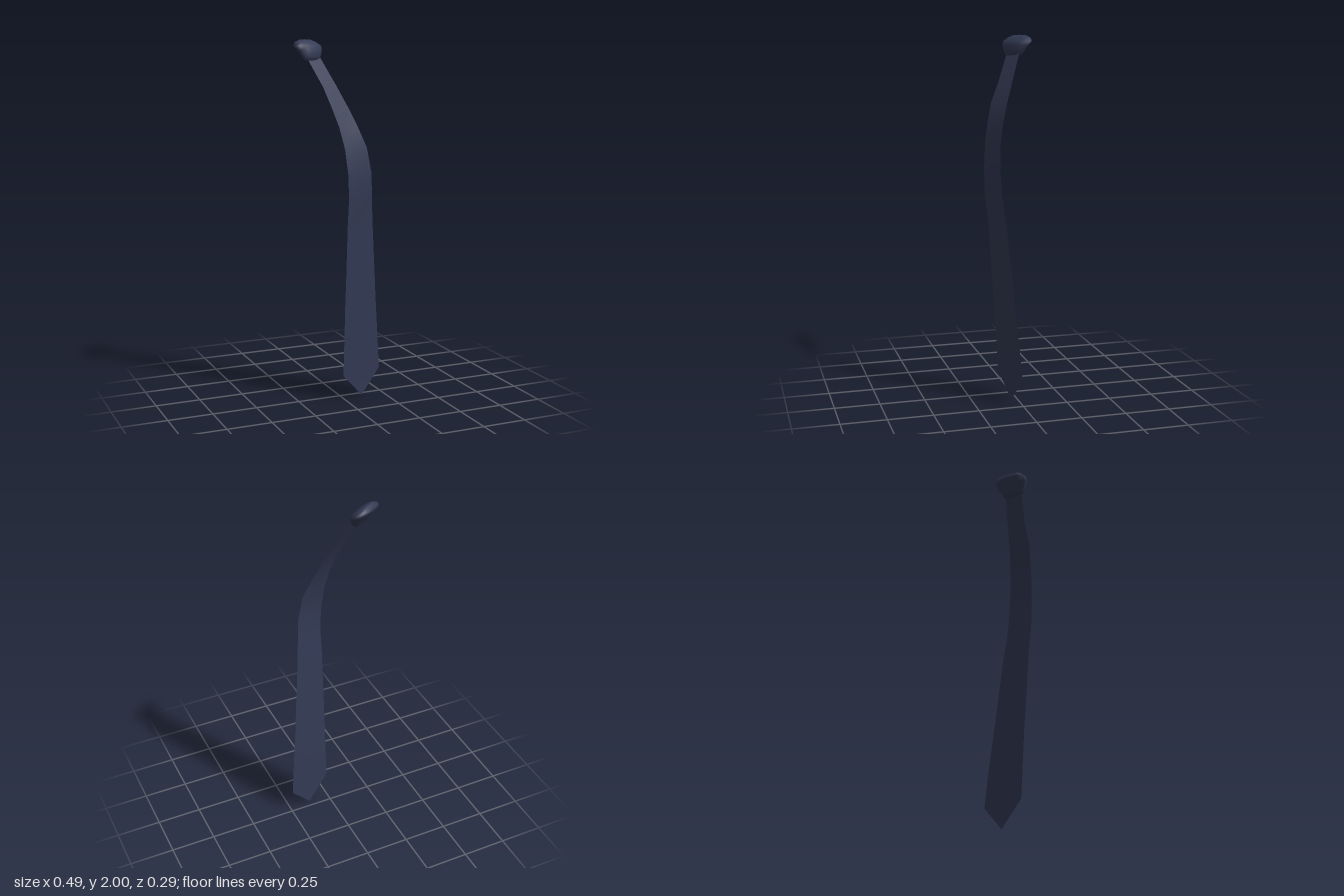
import * as THREE from 'three';

// Smooth mesh from points and triangle indices
function makeMesh(name, points, index, material) {
  const geometry = new THREE.BufferGeometry();
  geometry.setAttribute('position', new THREE.Float32BufferAttribute(points.flat(), 3));
  geometry.setIndex(index);
  geometry.computeVertexNormals();
  const mesh = new THREE.Mesh(geometry, material);
  mesh.name = name;
  return mesh;
}

// Hanging cloth: one sheet between two edges, ending in a point
function makeBlade(material) {
  // y, left x, left z, right x, right z
  const rows = [
    [1.93, -0.19, -0.035, -0.1, -0.085],
    [1.89, -0.175, -0.02, -0.08, -0.065],
    [1.75, -0.115, 0.04, -0.015, -0.01],
    [1.64, -0.085, 0.09, 0.033, 0.032],
    [1.54, -0.055, 0.118, 0.075, 0.065],
    [1.42, -0.03, 0.14, 0.12, 0.093],
    [1.28, -0.015, 0.15, 0.145, 0.1],
    [1.15, -0.01, 0.148, 0.152, 0.092],
    [1.0, -0.01, 0.13, 0.165, 0.073],
    [0.72, -0.01, 0.112, 0.19, 0.05],
    [0.55, -0.01, 0.098, 0.205, 0.035],
    [0.35, -0.01, 0.087, 0.225, 0.018],
    [0.14, -0.01, 0.075, 0.243, 0.003],
  ];
  const points = [];
  const index = [];
  rows.forEach(([y, lx, lz, rx, rz], i) => {
    points.push([lx, y, lz], [rx, y, rz]);
    const a = i * 2;
    if (i < rows.length - 1) index.push(a, a + 2, a + 1, a + 1, a + 2, a + 3);
  });
  const last = (rows.length - 1) * 2;
  points.push([0.12, 0, 0.035]);
  index.push(last, last + 2, last + 1);
  return makeMesh('blade', points, index, material);
}

// Knot: stacked rounded rings, wide above and pinched below, with a sloping back
function makeKnot(material) {
  const sides = 12;
  // y, half width, back depth, front depth
  const rings = [
    [1.888, 0.057, 0.012, 0.042],
    [1.91, 0.072, -0.002, 0.05],
    [1.945, 0.092, -0.026, 0.048],
    [1.966, 0.1, -0.046, 0.036],
    [1.986, 0.077, -0.052, 0.012],
    [1.998, 0.045, -0.032, -0.01],
  ];
  const soften = (v) => Math.sign(v) * Math.abs(v) ** 0.8;
  const place = (u, y, n) => [-0.155 + 0.87 * u + 0.49 * n, y, -0.075 - 0.49 * u + 0.87 * n];
  const points = [];
  const index = [];
  rings.forEach(([y, half, back, front], i) => {
    for (let j = 0; j < sides; j++) {
      const t = (j / sides) * Math.PI * 2;
      const n = (back + front) / 2 + ((front - back) / 2) * soften(Math.sin(t));
      points.push(place(half * soften(Math.cos(t)), y, n));
      if (i === rings.length - 1) continue;
      const a = i * sides + j;
      const b = i * sides + ((j + 1) % sides);
      index.push(a, a + sides, b, b, a + sides, b + sides);
    }
  });
  // End caps
  const bottom = points.length;
  points.push(place(0, 1.888, 0.027), place(0, 2, -0.021));
  const top = (rings.length - 1) * sides;
  for (let j = 0; j < sides; j++) {
    const k = (j + 1) % sides;
    index.push(bottom, j, k, bottom + 1, top + k, top + j);
  }
  return makeMesh('knot', points, index, material);
}

export function createModel() {
  const cloth = new THREE.MeshStandardMaterial({ color: 0x333a54 });
  cloth.name = 'navy cloth';
  cloth.side = THREE.DoubleSide;
  const tie = new THREE.Group();
  tie.name = 'necktie';
  tie.add(makeBlade(cloth), makeKnot(cloth));
  return tie;
}
